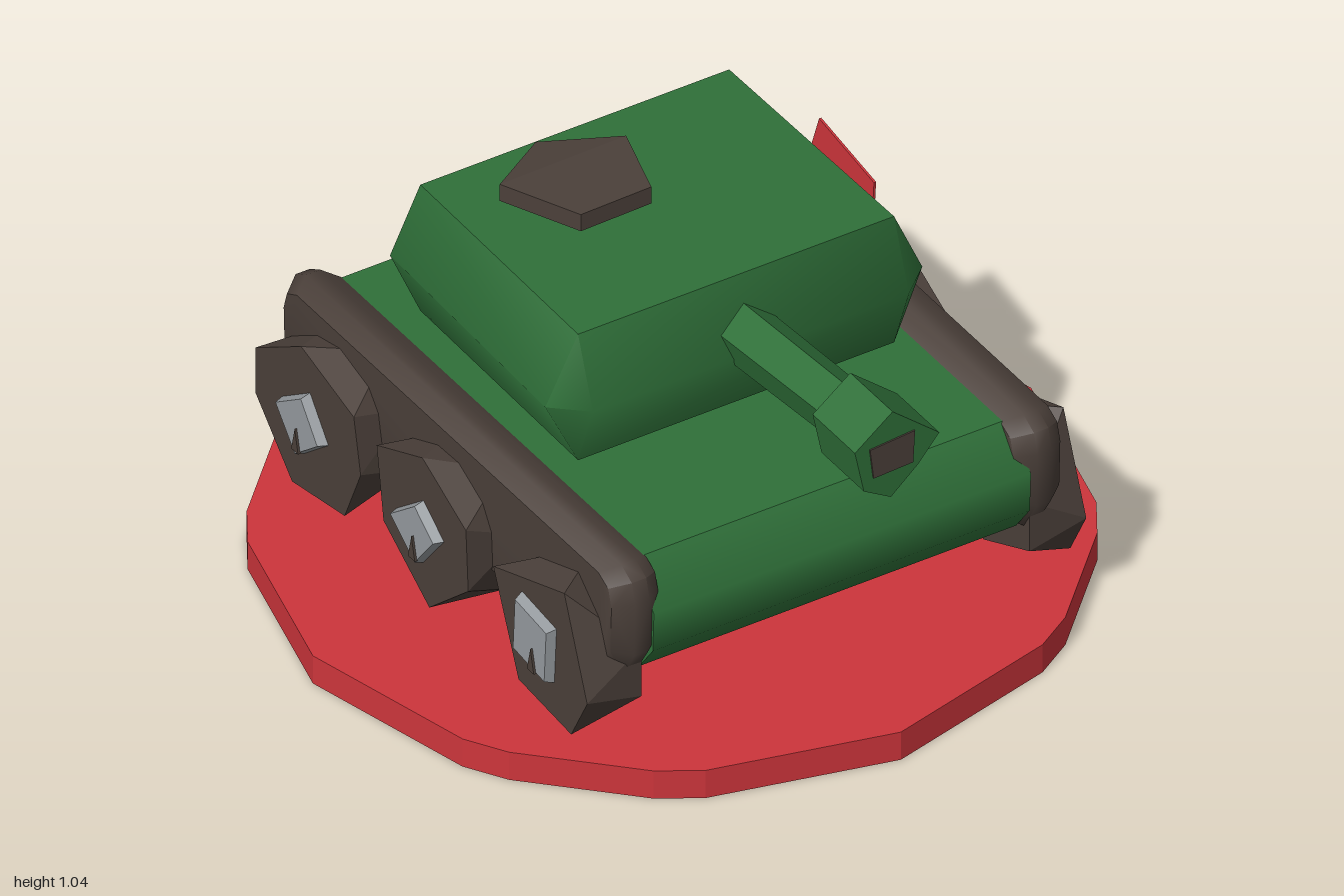
import * as THREE from 'three';
import { ConvexGeometry } from 'three/addons/geometries/ConvexGeometry.js';
import { toCreasedNormals } from 'three/addons/utils/BufferGeometryUtils.js';

const mat = (name, color) => {
  const m = new THREE.MeshStandardMaterial({ color });
  m.name = name;
  return m;
};

export function createModel() {
  const green = mat('armour green', 0x2f7039);
  const brown = mat('track brown', 0x4b403a);
  const red = mat('red', 0xcd353b);
  const grey = mat('hub grey', 0x959a9e);
  const yellow = mat('star yellow', 0xd2b42d);

  const model = new THREE.Group();
  model.name = 'toyTank';
  const V = (x, y, z) => new THREE.Vector3(x, y, z);

  // Faceted solid around a set of points; edges below the crease angle are smooth
  const solid = (name, material, points, crease = 0) => {
    let geo = new ConvexGeometry(points);
    if (crease) geo = toCreasedNormals(geo, crease);
    const mesh = new THREE.Mesh(geo, material);
    mesh.name = name;
    model.add(mesh);
    return mesh;
  };
  // Places [z, y] outlines at a given x
  const slice = (outline, x) => outline.map(([z, y]) => V(x, y, z));
  // Scales an outline about a centre, then turns it
  const vary = (outline, cz, cy, k, turn = 0) => outline.map(([z, y]) => {
    const a = z - cz, b = y - cy, c = Math.cos(turn) * k, s = Math.sin(turn) * k;
    return [cz + a * c - b * s, cy + a * s + b * c];
  });

  // Round base plate with uneven facets
  const rim = [];
  for (let q = 0; q < 4; q++) {
    for (const deg of [0, 28, 35, 55, 62]) {
      const a = THREE.MathUtils.degToRad(deg + q * 90);
      for (const y of [0, 0.08]) rim.push(V(Math.cos(a), y, Math.sin(a)));
    }
  }
  solid('base', red, rim);

  // Hull with sloping front and back
  const hullSide = [];
  for (const s of [-1, 1]) {
    hullSide.push([s * 0.66, 0.58], [s * 0.745, 0.47], [s * 0.74, 0.36], [s * 0.68, 0.28]);
  }
  solid('hull', green, [...slice(hullSide, -0.525), ...slice(hullSide, 0.525)], 0.9);

  // Turret: wide belt between a smaller roof and floor
  const turret = [];
  for (const s of [-1, 1]) {
    for (const y of [0.6, 0.965]) turret.push(V(s * 0.44, y, 0.28), V(s * 0.43, y, -0.425));
    turret.push(V(s * 0.525, 0.78, 0.27), V(s * 0.44, 0.78, 0.345));
    turret.push(V(s * 0.42, 0.78, -0.51), V(s * 0.505, 0.78, -0.44));
  }
  solid('turret', green, turret, 1.0);

  // Gun barrel, five-sided
  const barrel = [];
  for (let i = 0; i < 5; i++) {
    const a = Math.PI / 2 + (i * Math.PI * 2) / 5;
    barrel.push(V(0.005 + 0.08 * Math.cos(a), 0.815 + 0.08 * Math.sin(a), 0.27));
    barrel.push(V(0.02 + 0.075 * Math.cos(a), 0.845 + 0.075 * Math.sin(a), 0.82));
  }
  solid('gunBarrel', green, barrel);

  // Muzzle block and its dark opening
  const muzzle = [[-0.115, 0.92], [-0.01, 1.0], [0.12, 0.89], [0.06, 0.82], [-0.015, 0.755], [-0.09, 0.8]];
  solid('muzzle', green, muzzle.flatMap(([x, y]) => [V(x, y, 0.795), V(x, y, 0.98)]));
  const bore = [[-0.075, 0.915], [0.05, 0.925], [0.045, 0.835], [-0.065, 0.83]];
  solid('muzzleOpening', brown, bore.flatMap(([x, y]) => [V(x, y, 0.977), V(x, y, 0.984)]));

  // Hatch hovering over the roof
  const hatch = [[0.025, -0.24], [-0.035, -0.035], [-0.235, -0.03], [-0.33, -0.235]];
  solid('hatch', brown, [V(-0.15, 1.02, -0.36),
    ...hatch.flatMap(([x, z]) => [V(x, 0.995, z), V(x, 1.043, z)])]);

  // Track outline, and wheel and hub outlines from front to back
  const trackSide = [];
  for (const s of [-1, 1]) {
    trackSide.push([s * 0.69, 0.6], [s * 0.735, 0.575], [s * 0.75, 0.52], [s * 0.745, 0.37], [s * 0.69, 0.28]);
  }
  const wheels = [
    { c: [0.52, 0.32],
      rim: [[0.62, 0.52], [0.31, 0.41], [0.42, 0.15], [0.65, 0.13], [0.72, 0.26]],
      hub: [[0.59, 0.4], [0.43, 0.42], [0.42, 0.25], [0.58, 0.23]] },
    { c: [0, 0.33],
      rim: [[0, 0.535], [-0.2, 0.45], [-0.17, 0.25], [0.03, 0.12], [0.2, 0.27], [0.19, 0.44]],
      hub: [[0.1, 0.35], [0.005, 0.42], [-0.12, 0.32], [0.005, 0.23]] },
    { c: [-0.51, 0.33],
      rim: [[-0.53, 0.535], [-0.73, 0.41], [-0.73, 0.28], [-0.57, 0.12], [-0.34, 0.16], [-0.27, 0.32], [-0.3, 0.47]],
      hub: [[-0.405, 0.32], [-0.49, 0.43], [-0.62, 0.34], [-0.52, 0.225]] },
  ];
  for (const s of [-1, 1]) {
    const side = s > 0 ? 'left' : 'right';
    // Track with a ridge along its middle
    const inset = trackSide.map(([z, y]) => [z * 0.955, 0.44 + (y - 0.44) * 0.86]);
    solid(side + 'Track', brown, [...slice(inset, s * 0.495), ...slice(trackSide, s * 0.54),
      ...slice(trackSide, s * 0.58), ...slice(inset, s * 0.625)], 0.9);
    // Rough-cut wheels, hubs and hub slots
    wheels.forEach(({ c, rim, hub }, i) => {
      const [z, y] = c;
      solid(side + 'Wheel' + (i + 1), brown,
        [...slice(rim, s * 0.695), ...slice(vary(rim, z, y, 0.95, 0.5), s * 0.54)]);
      solid(side + 'Hub' + (i + 1), grey,
        [...slice(hub, s * 0.68), ...slice(vary(hub, z, y, 0.85), s * 0.72)]);
      const slot = [[z, y - 0.01], [z + 0.015, y - 0.075], [z - 0.015, y - 0.075]];
      solid(side + 'HubSlot' + (i + 1), brown, [...slice(slot, s * 0.718), ...slice(slot, s * 0.726)]);
    });
  }

  // Badge plate with a five-pointed star
  const plate = [[0.065, 0.9], [-0.175, 0.94], [-0.235, 0.77], [-0.11, 0.647], [0.05, 0.7]];
  solid('badgePlate', red, [...slice(plate, 0.521), ...slice(plate, 0.527)]);
  const star = new THREE.Shape();
  for (let i = 0; i < 10; i++) {
    const r = i % 2 ? 0.045 : 0.108, a = Math.PI / 2 + (i * Math.PI) / 5;
    star[i ? 'lineTo' : 'moveTo'](0.077 + r * Math.cos(a), 0.8 + r * Math.sin(a));
  }
  const starGeo = new THREE.ExtrudeGeometry(star, { depth: 0.004, bevelEnabled: false });
  starGeo.rotateY(Math.PI / 2).translate(0.526, 0, 0);
  const starMesh = new THREE.Mesh(starGeo, yellow);
  starMesh.name = 'badgeStar';
  model.add(starMesh);

  return model;
}
